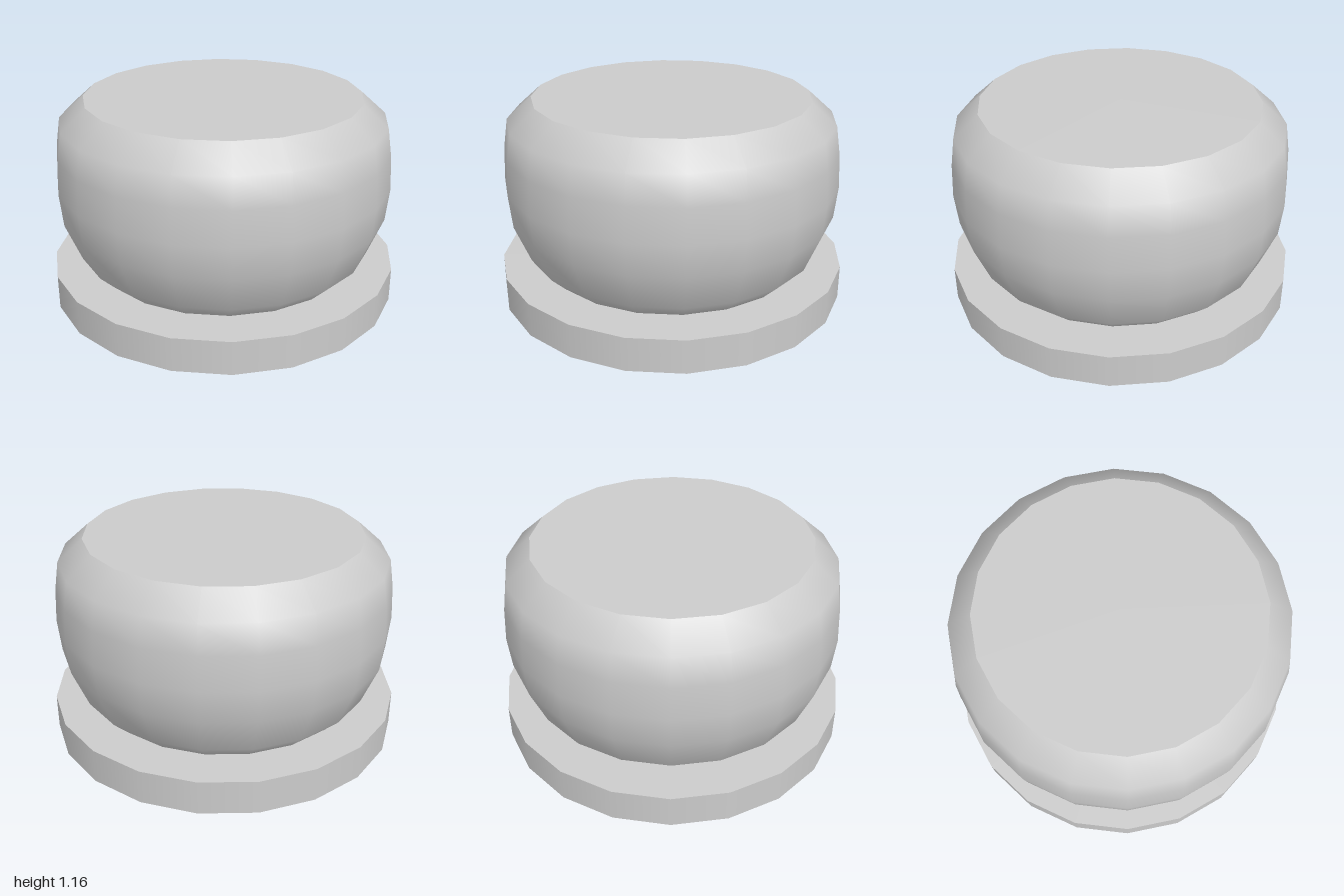
import * as THREE from 'three';

const SIDES = 20;
const BASE_HEIGHT = 0.195;
const TOP_HEIGHT = 1.165;
const TOP_RADIUS = 0.78;

export function createModel() {
  const group = new THREE.Group();
  group.name = 'roundKnob';
  const material = new THREE.MeshStandardMaterial({ color: 0xcccccc });

  const add = (name, geometry, y = 0) => {
    const mesh = new THREE.Mesh(geometry, material);
    mesh.name = name;
    mesh.position.y = y;
    group.add(mesh);
  };

  // Flat round base plate
  add('basePlate', new THREE.CylinderGeometry(1, 1, BASE_HEIGHT, SIDES), BASE_HEIGHT / 2);

  // Bulging body, smooth around and along its profile
  const profile = [
    [0.76, BASE_HEIGHT], [0.85, 0.285], [0.938, 0.505], [0.956, 0.69],
    [0.945, 0.88], [0.92, 1.04], [TOP_RADIUS, TOP_HEIGHT],
  ].map(([r, y]) => new THREE.Vector2(r, y));
  add('body', new THREE.LatheGeometry(profile, SIDES));

  // Flat top with a sharp rim
  add('topFace', new THREE.CircleGeometry(TOP_RADIUS, SIDES).rotateX(-Math.PI / 2), TOP_HEIGHT);

  return group;
}
